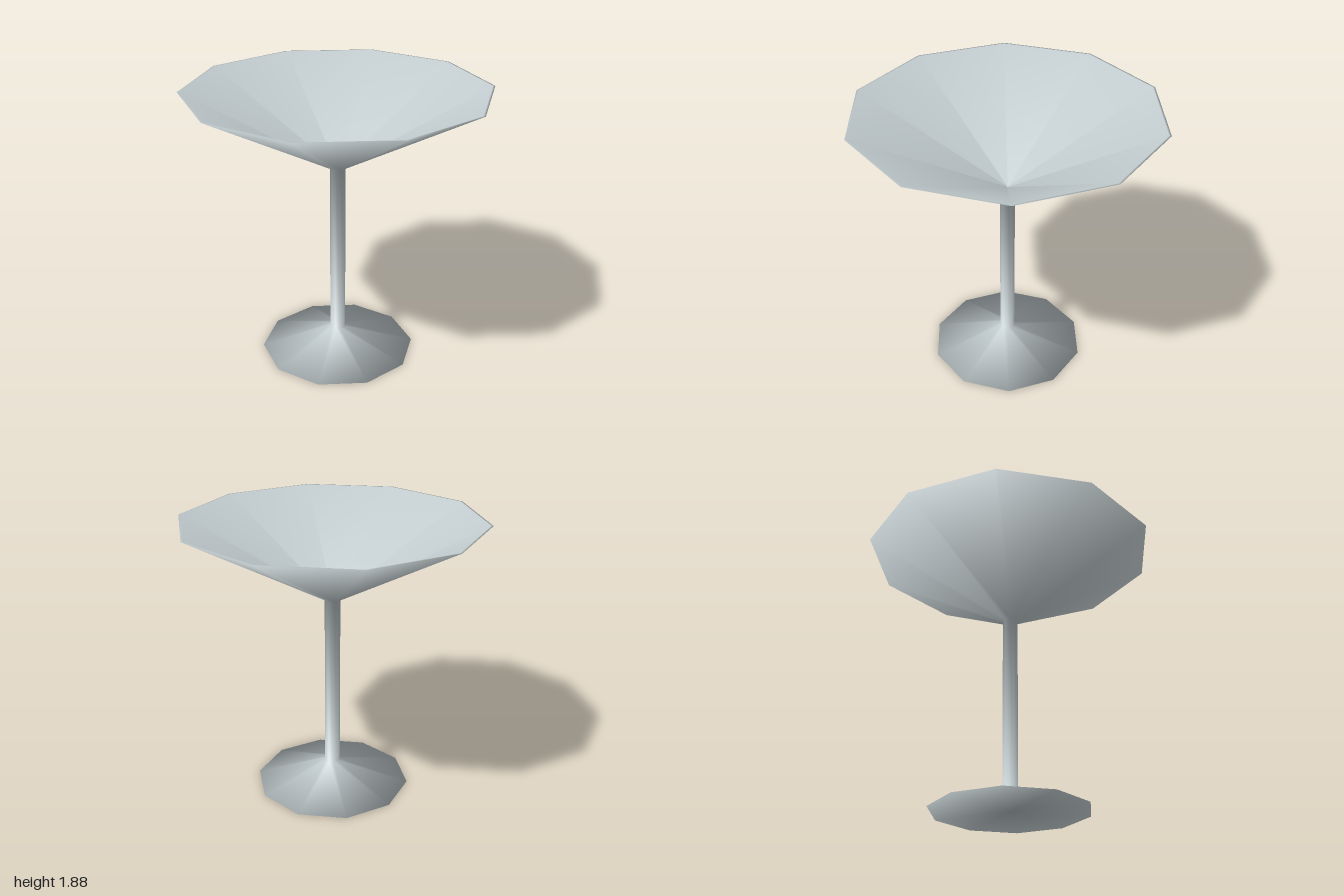
import * as THREE from 'three';

const SIDES = 10;

// Lathe whose normals blend evenly between neighbouring profile segments.
function turnSmooth(profile) {
  const points = profile.map(([r, y]) => new THREE.Vector2(r, y));
  const facing = points.slice(1).map((p, j) =>
    new THREE.Vector2(p.y - points[j].y, points[j].x - p.x).normalize());
  const blended = points.map((_, j) => {
    const before = facing[Math.max(j - 1, 0)];
    const after = facing[Math.min(j, facing.length - 1)];
    return before.clone().add(after).normalize();
  });

  const geometry = new THREE.LatheGeometry(points, SIDES);
  const normals = geometry.attributes.normal;
  for (let i = 0; i <= SIDES; i++) {
    const angle = (i / SIDES) * Math.PI * 2;
    blended.forEach((n, j) => normals.setXYZ(
      i * points.length + j, n.x * Math.sin(angle), n.y, n.x * Math.cos(angle)));
  }
  return geometry;
}

export function createModel() {
  const group = new THREE.Group();
  const glass = new THREE.MeshStandardMaterial({ color: 0xc4ced1 });
  glass.name = 'pale grey glass';

  // Foot, stem and thin-walled bowl, turned as one continuous surface
  const goblet = new THREE.Mesh(turnSmooth([
    [0, 0], [0.53, 0],              // foot underside
    [0.052, 0.15],                  // foot top
    [0.052, 1.35],                  // stem
    [1, 1.88],                      // bowl outside
    [0.985, 1.88],                  // rim
    [0.01, 1.34], [0, 1.335],       // bowl inside
  ]), glass);
  goblet.name = 'stemmedGlass';
  group.add(goblet);

  return group;
}
